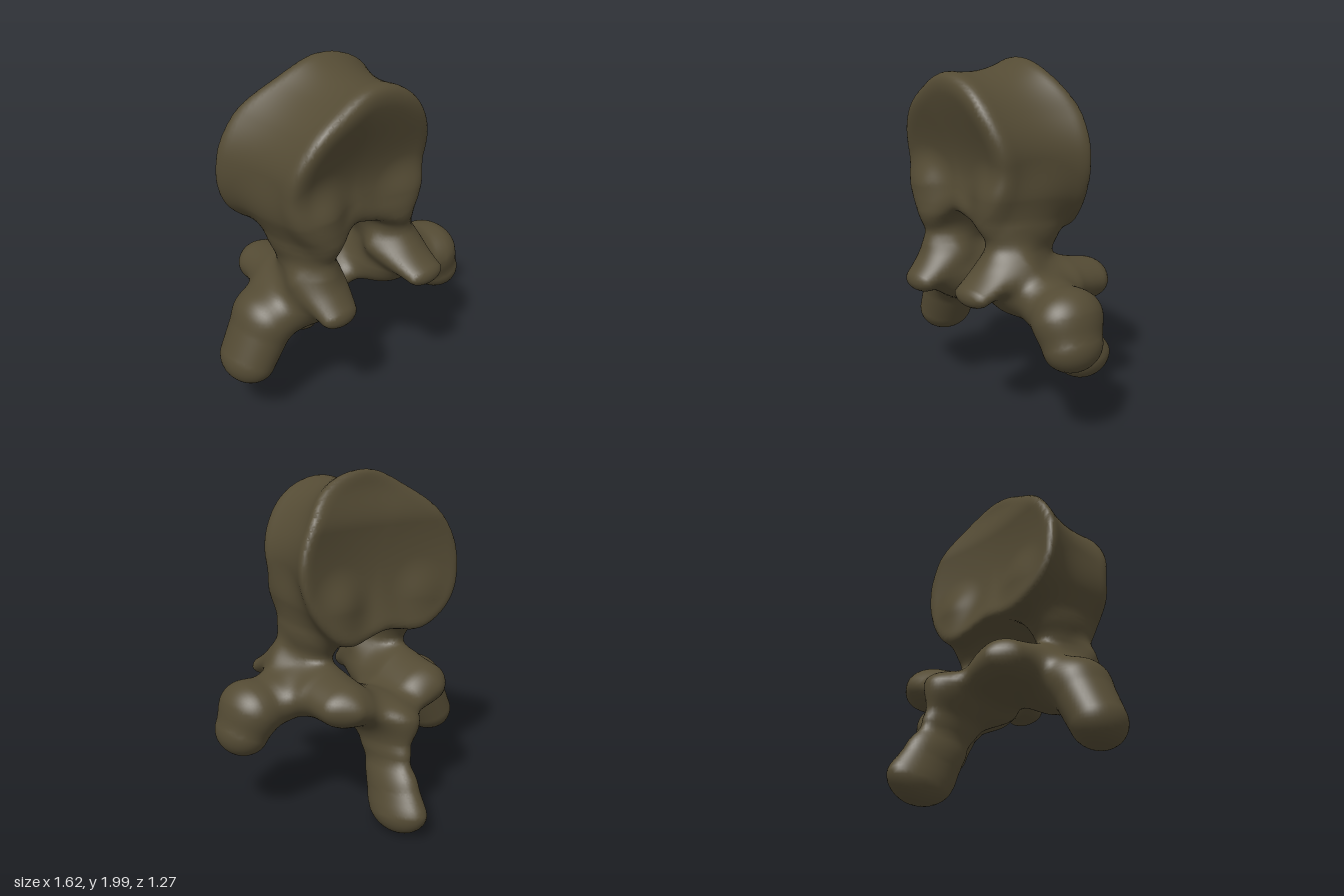
import * as THREE from 'three';
import { mergeVertices } from 'three/addons/utils/BufferGeometryUtils.js';

const { clamp, lerp, smoothstep } = THREE.MathUtils;
const STEP = 0.022;                                   // grid size of the skin
const LOW = [-0.95, -0.1, -0.8], COUNT = [86, 100, 70];

// Smooth minimum: blends two distances over the width k
function blend(a, b, k) {
  const h = Math.max(k - Math.abs(a - b), 0) / k;
  return Math.min(a, b) - h * h * k / 4;
}

// Rounded limb through points [x, y, z, radius], stretched along x and z
function limb(points, sx = 1, sz = 1) {
  const pts = points.map(([x, y, z, r]) => [x / sx, y, z / sz, r]);
  return (x, y, z) => {
    x /= sx; z /= sz;
    let d = 9;
    for (let i = 1; i < pts.length; i++) {
      const a = pts[i - 1], b = pts[i];
      const ux = b[0] - a[0], uy = b[1] - a[1], uz = b[2] - a[2];
      const t = clamp(((x - a[0]) * ux + (y - a[1]) * uy + (z - a[2]) * uz) / (ux * ux + uy * uy + uz * uz), 0, 1);
      const e = Math.hypot(x - a[0] - ux * t, y - a[1] - uy * t, z - a[2] - uz * t);
      d = blend(d, e - lerp(a[3], b[3], t), 0.02);
    }
    return d;
  };
}

// Body outline: radius every 30 degrees, counter-clockwise from +x
const OUTLINE = [0.55, 0.525, 0.52, 0.505, 0.465, 0.49, 0.54, 0.56, 0.48, 0.40, 0.49, 0.54];
function outlineRadius(angle) {
  const s = ((angle / (Math.PI * 2) + 1) % 1) * 12, i = Math.floor(s), t = s - i;
  const at = (n) => OUTLINE[(n + 12) % 12];
  const [a, b, c, d] = [at(i - 1), at(i), at(i + 1), at(i + 2)];
  return b + 0.5 * t * (c - a + t * (2 * a - 5 * b + 4 * c - d + t * (3 * (b - c) + d - a)));
}

// Waisted drum with tilted, dished end faces
function drum(x, y, z) {
  const back = -0.17 + 0.11 * (x + 0.08) + 0.06 * (y - 1.5) + 0.09 * smoothstep(y, 1.7, 2);
  const front = 0.435 + 0.09 * smoothstep(y, 1.35, 1.85) + 0.05 * x;
  const u = clamp((z - back) / (front - back), 0, 1);
  const dx = x + 0.08 + 0.05 * u, dy = y - 1.5;
  const r = Math.hypot(dx, dy);
  const rim = outlineRadius(Math.atan2(dy, dx)) * (1.06 - 0.63 * u + 0.47 * u * u);
  const dish = Math.max(0, 1 - (r / rim) ** 2);
  const ends = blend(z - back - 0.08 * dish, front - 0.06 * dish - z, 0.02);
  return -blend(rim - r, ends, lerp(0.09, 0.13, u));
}

const PARTS = {
  body: drum,
  rightPedicle: limb([[-0.385, 1.27, 0.15, 0.165], [-0.365, 1.1, 0.18, 0.14], [-0.36, 0.94, 0.215, 0.11],
    [-0.33, 0.76, 0.17, 0.135]], 1, 1.75),
  leftPedicle: limb([[0.205, 1.27, 0.15, 0.155], [0.21, 1.1, 0.18, 0.14], [0.225, 0.94, 0.215, 0.11],
    [0.22, 0.77, 0.17, 0.135]], 1, 1.75),
  rightFrontFacet: limb([[-0.36, 0.88, 0.28, 0.08], [-0.365, 0.735, 0.475, 0.06]], 1.8),
  leftFrontFacet: limb([[0.22, 0.92, 0.3, 0.08], [0.23, 0.795, 0.56, 0.06]], 2.1),
  lamina: limb([[-0.3, 0.74, -0.12, 0.09], [-0.04, 0.63, -0.13, 0.095], [0.28, 0.75, -0.12, 0.09]], 1, 2.6),
  rightRearFacet: limb([[-0.32, 0.77, -0.06, 0.1], [-0.3, 0.76, -0.245, 0.095]], 1.5),
  leftRearFacet: limb([[0.3, 0.78, -0.04, 0.1], [0.305, 0.76, -0.21, 0.1]], 1.5),
  rightSideProcess: limb([[-0.33, 0.72, 0.16, 0.135], [-0.56, 0.625, 0.08, 0.158], [-0.67, 0.405, 0.065, 0.144]], 1, 1.22),
  leftSideProcess: limb([[0.3, 0.77, 0.18, 0.13], [0.48, 0.72, 0.21, 0.14], [0.61, 0.69, 0.235, 0.165],
    [0.665, 0.57, 0.25, 0.143]], 1, 1.22),
  rearSpine: limb([[0.02, 0.64, -0.21, 0.1], [0.045, 0.46, -0.285, 0.078], [0.065, 0.33, -0.34, 0.072],
    [0.09, 0.18, -0.42, 0.072]], 1, 2.3),
  spineTip: limb([[0.08, 0.25, -0.39, 0.075], [0.1, 0.123, -0.445, 0.11]], 1, 1.5),
};
const names = Object.keys(PARTS), fields = Object.values(PARTS);
const field = (x, y, z) => fields.reduce((d, f) => blend(d, f(x, y, z), 0.12), 9);

function gradient(x, y, z, e = 0.008) {
  return new THREE.Vector3(
    field(x + e, y, z) - field(x - e, y, z),
    field(x, y + e, z) - field(x, y - e, z),
    field(x, y, z + e) - field(x, y, z - e)).divideScalar(2 * e);
}

export function createModel() {
  const [nx, ny, nz] = COUNT, stride = [1, nx, nx * ny];
  const values = new Float32Array(nx * ny * nz);
  const cellVertex = new Int32Array(values.length).fill(-1);
  const position = [], normal = [];
  const eachCell = (start, end, visit) => {
    for (let k = start; k < nz - end; k++)
      for (let j = start; j < ny - end; j++)
        for (let i = start; i < nx - end; i++) visit([i, j, k], i + j * nx + k * nx * ny);
  };

  // Sample the blended form
  eachCell(0, 0, (c, id) => {
    values[id] = field(...c.map((n, a) => LOW[a] + n * STEP));
  });

  // One skin vertex for each cell the surface crosses, pulled onto the surface
  eachCell(0, 1, (c, id) => {
    const sum = [0, 0, 0];
    let hits = 0;
    for (let a = 0; a < 3; a++) {
      const b = (a + 1) % 3, d = (a + 2) % 3;
      for (let m = 0; m < 4; m++) {
        const p = id + (m & 1) * stride[b] + (m >> 1) * stride[d];
        const v0 = values[p], v1 = values[p + stride[a]];
        if ((v0 < 0) === (v1 < 0)) continue;
        sum[a] += v0 / (v0 - v1); sum[b] += m & 1; sum[d] += m >> 1;
        hits++;
      }
    }
    if (!hits) return;
    const p = new THREE.Vector3(...c.map((n, a) => LOW[a] + (n + sum[a] / hits) * STEP));
    const g = gradient(p.x, p.y, p.z);
    const move = clamp(-field(p.x, p.y, p.z) / Math.max(g.lengthSq(), 0.1), -0.01, 0.01);
    p.addScaledVector(g, move);
    cellVertex[id] = position.length / 3;
    position.push(p.x, p.y, p.z);
    normal.push(...g.normalize().toArray());
  });

  // Join neighbouring cells with quads and give each quad to its nearest part
  const faces = names.map(() => []);
  eachCell(1, 1, (c, id) => {
    for (let a = 0; a < 3; a++) {
      const inside = values[id] < 0;
      if (inside === (values[id + stride[a]] < 0)) continue;
      const b = stride[(a + 1) % 3], d = stride[(a + 2) % 3];
      const q = [id - b - d, id - d, id, id - b].map((n) => cellVertex[n]);
      if (!inside) q.reverse();
      const p = position.slice(q[0] * 3, q[0] * 3 + 3);
      const near = fields.map((f) => f(...p));
      faces[near.indexOf(Math.min(...near))].push(q[0], q[1], q[2], q[0], q[2], q[3]);
    }
  });

  const group = new THREE.Group();
  group.name = 'vertebra';
  const material = new THREE.MeshStandardMaterial({ color: 0x544b34 });
  names.forEach((name, n) => {
    const shared = new THREE.BufferGeometry();
    shared.setAttribute('position', new THREE.Float32BufferAttribute(position, 3));
    shared.setAttribute('normal', new THREE.Float32BufferAttribute(normal, 3));
    shared.setIndex(faces[n]);
    const mesh = new THREE.Mesh(mergeVertices(shared.toNonIndexed(), 1e-5), material);
    mesh.name = name;
    group.add(mesh);
  });
  return group;
}
